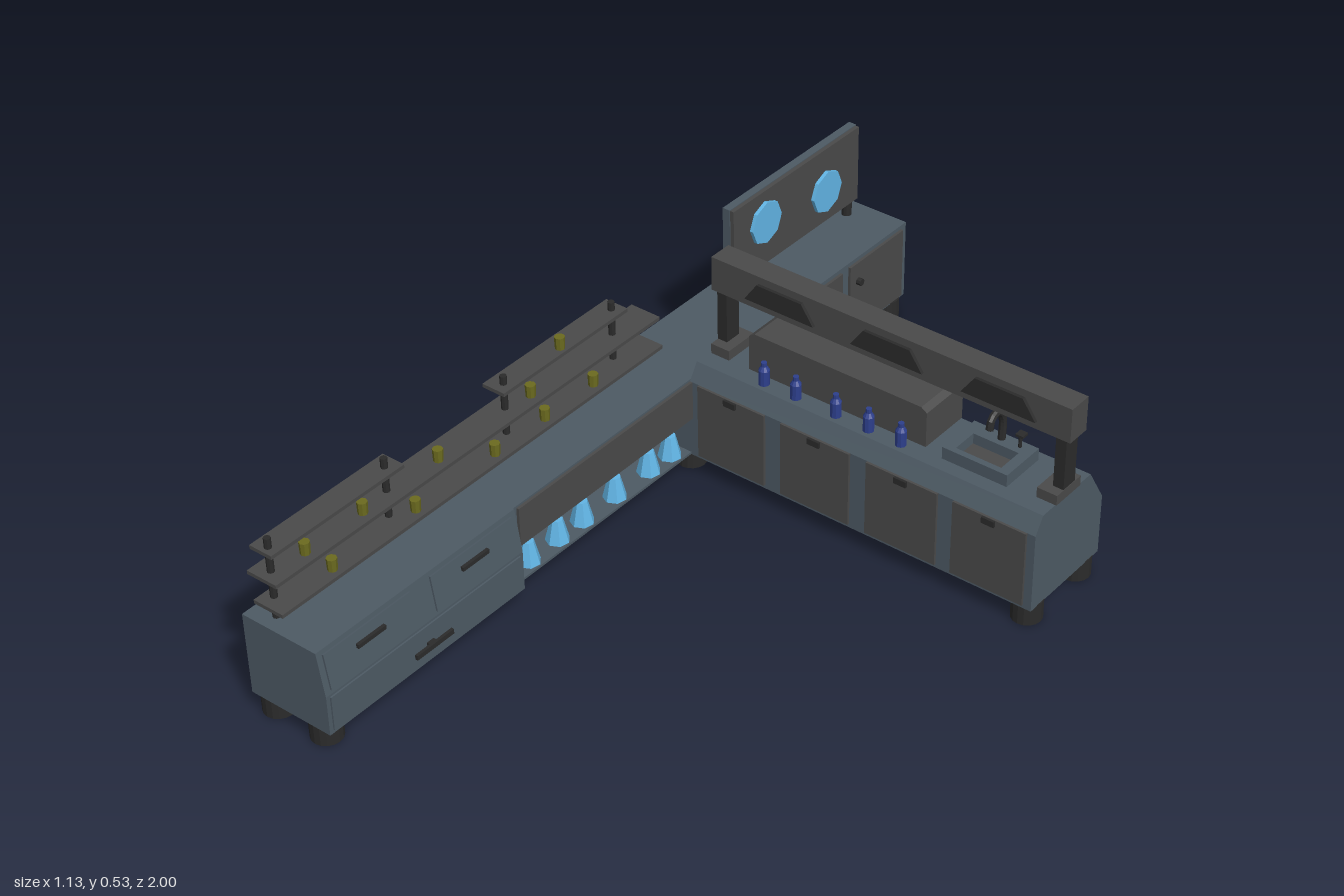
import * as THREE from 'three';

const mat = (color) => new THREE.MeshStandardMaterial({ color, flatShading: true });

export function createModel() {
  const root = new THREE.Group();
  const slate = mat(0x4d5a64), dark = mat(0x4a4a4a), black = mat(0x2b2b2b);
  const glass = mat(0x62b5e5), blue = mat(0x2d3f8c), olive = mat(0x6b6a1f);

  const add = (name, geo, m, x = 0, y = 0, z = 0) => {
    const mesh = new THREE.Mesh(geo, m);
    mesh.name = name;
    mesh.position.set(x, y, z);
    root.add(mesh);
    return mesh;
  };
  // box given by its limits on each axis
  const box = (name, m, x0, x1, y0, y1, z0, z1) =>
    add(name, new THREE.BoxGeometry(x1 - x0, y1 - y0, z1 - z0), m, (x0 + x1) / 2, (y0 + y1) / 2, (z0 + z1) / 2);
  // upright cylinder standing on y0
  const cyl = (name, m, x, z, y0, y1, rBottom, rTop = rBottom, sides = 12) =>
    add(name, new THREE.CylinderGeometry(rTop, rBottom, y1 - y0, sides), m, x, (y0 + y1) / 2, z);
  const prism = (pts, depth) => new THREE.ExtrudeGeometry(
    new THREE.Shape(pts.map(([a, b]) => new THREE.Vector2(a, b))), { depth, bevelEnabled: false });

  // Long counter: closed rear block, open niche in the middle, drawer block in front
  box('rearCounter', slate, -0.565, -0.365, 0.05, 0.255, -1, -0.18);
  box('nicheTop', slate, -0.565, -0.365, 0.15, 0.255, -0.18, 0.41);
  box('nicheBack', slate, -0.565, -0.5, 0.05, 0.15, -0.18, 0.41);
  box('nicheFloor', slate, -0.5, -0.365, 0.05, 0.056, -0.18, 0.41);
  box('nichePanel', dark, -0.367, -0.358, 0.152, 0.25, -0.18, 0.4);
  add('drawerCounter', prism([[-0.565, 0.05], [-0.345, 0.05], [-0.345, 0.15], [-0.362, 0.255], [-0.565, 0.255]], 0.59),
    slate, 0, 0, 0.41);

  // Drawer fronts and handles
  box('lowerDrawer', slate, -0.346, -0.341, 0.06, 0.145, 0.42, 0.99);
  for (const [z, w] of [[0.86, 0.25], [0.55, 0.25]]) {
    const front = box('upperDrawer', slate, -0.354, -0.349, 0.16, 0.245, z - w / 2, z + w / 2);
    front.rotation.z = 0.16;
    box('drawerHandle', black, -0.354, -0.344, 0.21, 0.22, z - 0.04, z + 0.04);
  }
  box('drawerHandle', black, -0.332, -0.325, 0.095, 0.107, 0.65, 0.76);
  box('handleStem', black, -0.345, -0.328, 0.097, 0.105, 0.695, 0.715);

  // Rear cupboard doors
  for (const [z0, z1, knob] of [[-0.74, -0.53, -0.72], [-0.98, -0.77, -0.8]]) {
    box('cupboardDoor', dark, -0.367, -0.358, 0.06, 0.245, z0, z1);
    const k = cyl('doorKnob', black, -0.353, knob, 0.188, 0.202, 0.009, 0.009, 8);
    k.rotation.z = Math.PI / 2;
  }

  // Cross counter with sloped upper edges
  const cross = add('crossCounter', prism([[0.18, 0.05], [0.44, 0.05], [0.44, 0.2], [0.385, 0.29], [0.205, 0.29], [0.18, 0.25]], 0.915),
    slate, -0.365, 0, 0);
  cross.rotation.y = Math.PI / 2;
  [-0.2475, -0.0175, 0.2125, 0.4375].forEach((x) => {
    box('frontDoor', dark, x - 0.0925, x + 0.0925, 0.06, 0.25, -0.182, -0.174);
    box('frontDoorHandle', black, x - 0.016, x + 0.016, 0.234, 0.249, -0.176, -0.168);
  });
  for (const x of [-0.27, -0.09, 0.085, 0.265, 0.445])
    cyl('backPost', black, x, -0.444, 0.07, 0.19, 0.017, 0.017, 10);

  // Feet
  for (const [x, z] of [[-0.53, 0.963], [-0.395, 0.963], [-0.53, -0.963], [-0.395, -0.963],
    [-0.53, -0.218], [-0.395, -0.218], [-0.53, -0.405], [-0.395, -0.405], [0.517, -0.218], [0.517, -0.405]])
    cyl('foot', black, x, z, 0, 0.052, 0.036, 0.036, 16);

  // Overhead beam with lamps on two posts
  box('beam', dark, -0.37, 0.565, 0.445, 0.53, -0.327, -0.267);
  for (const [p, b] of [[-0.348, -0.335], [0.539, 0.528]]) {
    box('beamPost', black, p - 0.013, p + 0.013, 0.29, 0.446, -0.318, -0.275);
    box('postBase', dark, b - 0.025, b + 0.025, 0.29, 0.315, -0.34, -0.25);
  }
  for (const x of [-0.18, 0.105, 0.39])
    add('lamp', prism([[-0.093, 0.465], [0.093, 0.465], [0.06, 0.512], [-0.06, 0.512]], 0.009), black, x, 0, -0.268);

  // Back bar box with clipped top corners and a sloped front
  add('barBox', prism([[-0.255, 0.29], [0.22, 0.29], [0.22, 0.378], [0.205, 0.388], [-0.24, 0.388], [-0.255, 0.378]], 0.135),
    dark, 0, 0, -0.387);

  // Bottles
  const bottle = new THREE.LatheGeometry([[0, 0], [0.013, 0], [0.013, 0.037], [0.007, 0.047], [0.007, 0.057], [0, 0.057]]
    .map(([r, y]) => new THREE.Vector2(r, y)), 10);
  for (const x of [-0.195, -0.108, 0, 0.087, 0.172]) add('bottle', bottle, blue, x, 0.29, -0.228);

  // Sink rim, basin, tap and lever
  const rim = new THREE.Shape([[0.27, 0.24], [0.435, 0.24], [0.435, 0.36], [0.27, 0.36]].map(([a, b]) => new THREE.Vector2(a, b)));
  rim.holes.push(new THREE.Path([[0.295, 0.255], [0.295, 0.32], [0.41, 0.32], [0.41, 0.255]].map(([a, b]) => new THREE.Vector2(a, b))));
  const sink = add('sink', new THREE.ExtrudeGeometry(rim, { depth: 0.03, bevelEnabled: false }), slate, 0, 0.29, 0);
  sink.rotation.x = -Math.PI / 2;
  box('basinFloor', dark, 0.29, 0.415, 0.288, 0.294, -0.325, -0.25);
  const tapPath = new THREE.CatmullRomCurve3([[0.315, -0.342], [0.375, -0.342], [0.4, -0.325], [0.395, -0.3], [0.37, -0.293]]
    .map(([y, z]) => new THREE.Vector3(0.352, y, z)));
  add('tap', new THREE.TubeGeometry(tapPath, 14, 0.009, 8), black);
  cyl('leverStem', black, 0.4, -0.34, 0.315, 0.36, 0.004, 0.004, 6);
  box('lever', black, 0.396, 0.415, 0.355, 0.361, -0.345, -0.325);

  // Shelves along the long counter
  box('lowerShelf', dark, -0.53, -0.45, 0.297, 0.306, -0.19, 0.995);
  box('middleShelf', dark, -0.545, -0.465, 0.361, 0.37, -0.2, 0.99);
  box('upperShelf', dark, -0.54, -0.48, 0.421, 0.43, 0.6, 0.98);
  box('upperShelf', dark, -0.54, -0.48, 0.425, 0.434, -0.11, 0.295);
  for (const z of [0.963, 0.632, 0.268, -0.085]) cyl('shelfPost', black, -0.505, z, 0.25, 0.455, 0.008, 0.008, 8);

  // Cups on each shelf
  const cups = [[-0.473, 0.306, [0.83, 0.585, 0.34, 0.18, 0.02]], [-0.492, 0.37, [0.88, 0.715, 0.49, 0.2]], [-0.497, 0.434, [0.095]]];
  for (const [x, y, zs] of cups) for (const z of zs) cyl('cup', olive, x, z, y, y + 0.03, 0.011, 0.012, 8);

  // Glasses in the niche
  for (const z of [0.34, 0.245, 0.163, 0.052, -0.065, -0.14])
    cyl('glass', glass, -0.395, z, 0.056, 0.113, 0.028, 0.014, 7);

  // Display board with two discs
  box('boardBack', slate, -0.515, -0.495, 0.29, 0.49, -0.97, -0.49);
  box('boardFront', dark, -0.497, -0.485, 0.292, 0.488, -0.968, -0.492);
  for (const z of [-0.515, -0.945]) cyl('boardPost', black, -0.5, z, 0.25, 0.295, 0.013, 0.013, 10);
  for (const [y, z] of [[0.408, -0.605], [0.377, -0.837]]) {
    const disc = add('disc', new THREE.CylinderGeometry(0.054, 0.054, 0.012, 8), glass, -0.482, y, z);
    disc.rotation.z = Math.PI / 2;
  }
  return root;
}
